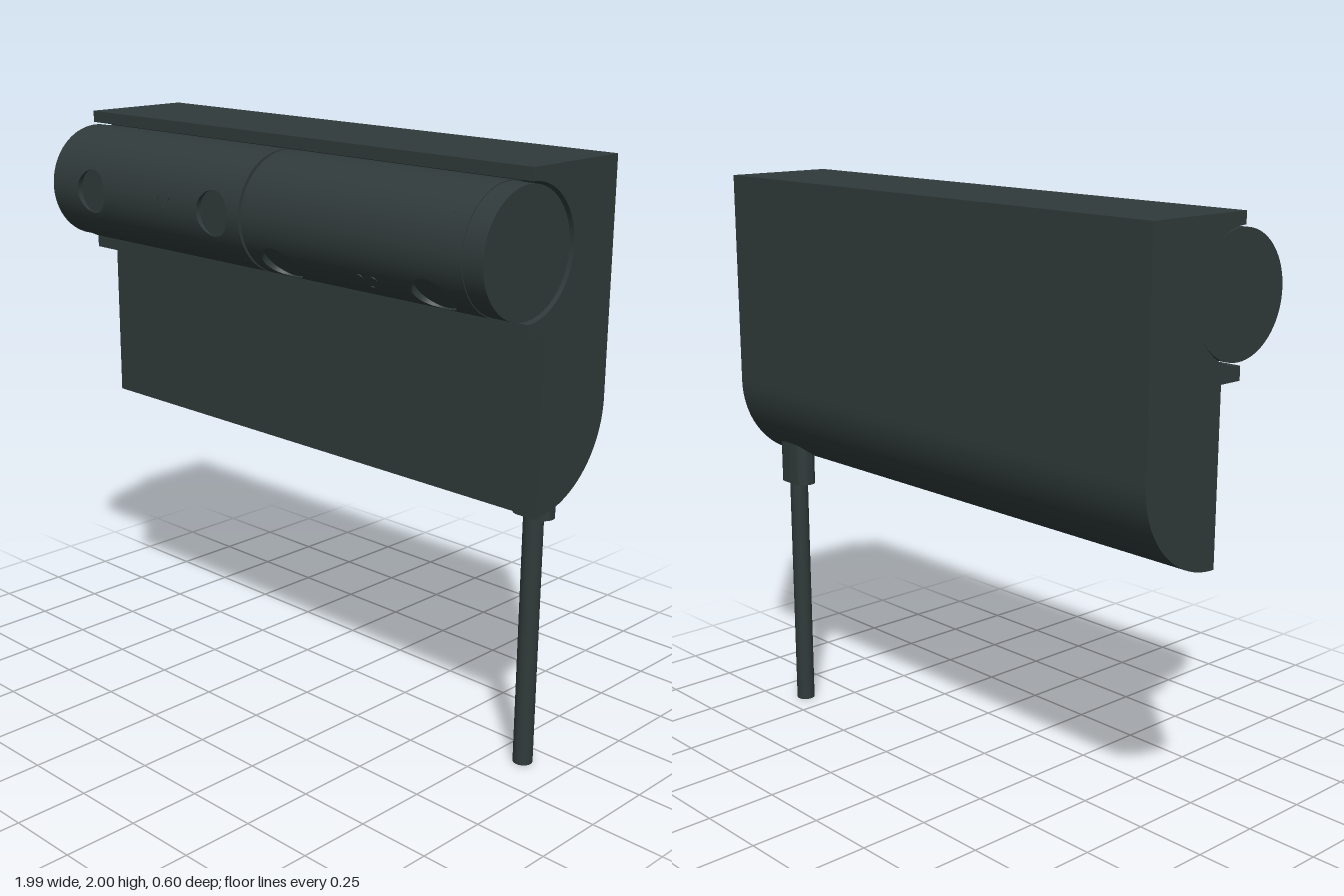
import * as THREE from 'three';
import { toCreasedNormals } from 'three/addons/utils/BufferGeometryUtils.js';

const R = 0.2;          // barrel radius
const LENS = 0.075;     // lens recess radius
const PATCH = 0.09;     // half width of the square patch around a lens
const FLOOR = 0.18;     // distance of the lens floor from the barrel axis

// grid surface: point(u, v) gives a position, normal(p, v) its normal
function sheet(nu, nv, point, normal) {
  const pos = [], nor = [], idx = [];
  for (let i = 0; i <= nu; i++) {
    for (let j = 0; j <= nv; j++) {
      const p = point(i / nu, j / nv);
      pos.push(...p);
      nor.push(...normal(p, j / nv));
      if (i < nu && j < nv) {
        const a = i * (nv + 1) + j, b = a + nv + 1;
        idx.push(a, b, b + 1, a, b + 1, a + 1);
      }
    }
  }
  const g = new THREE.BufferGeometry();
  g.setAttribute('position', new THREE.Float32BufferAttribute(pos, 3));
  g.setAttribute('normal', new THREE.Float32BufferAttribute(nor, 3));
  g.setIndex(idx);
  return g;
}

const round = (p) => [0, p[1] / R, p[2] / R];

// part of the barrel skin between two x values and two angles from the front
const skin = (x0, x1, a0, a1) => sheet(1, 72, (u, v) => {
  const a = a0 + (a1 - a0) * v;
  return [x0 + (x1 - x0) * u, R * Math.sin(a), R * Math.cos(a)];
}, round);

// square of barrel skin with a round opening
const lensSurround = (x) => sheet(4, 64, (u, v) => {
  const c = Math.cos(v * 2 * Math.PI), s = Math.sin(v * 2 * Math.PI);
  const outer = PATCH / Math.max(Math.abs(c), Math.abs(s));
  const d = LENS + (outer - LENS) * u, y = d * s;
  return [x + d * c, y, Math.sqrt(R * R - y * y)];
}, round);

// side wall of the lens recess
const lensWall = (x) => sheet(1, 64, (u, v) => {
  const c = Math.cos(v * 2 * Math.PI), s = Math.sin(v * 2 * Math.PI), y = LENS * s;
  return [x + LENS * c, y, FLOOR + (Math.sqrt(R * R - y * y) - FLOOR) * u];
}, (p, v) => [-Math.cos(v * 2 * Math.PI), -Math.sin(v * 2 * Math.PI), 0]);

export function createModel() {
  const model = new THREE.Group();
  model.name = 'cameraUnit';
  const charcoal = new THREE.MeshStandardMaterial({ color: 0x303a3a });
  charcoal.name = 'charcoal';

  const add = (parent, name, geometry, x = 0, y = 0, z = 0) => {
    const m = new THREE.Mesh(geometry, charcoal);
    m.name = name;
    m.position.set(x, y, z);
    parent.add(m);
    return m;
  };

  // housing: side profile with round socket and curved lower back
  const profile = new THREE.Shape();
  profile.moveTo(-0.3, 2);
  profile.lineTo(-0.3, 1.255);
  profile.absarc(0.015, 1.255, 0.315, Math.PI, 1.5 * Math.PI, false);
  profile.lineTo(0.015, 1.505);
  profile.lineTo(0.1, 1.505);
  profile.lineTo(0.1, 1.55);
  profile.absarc(0.1, 1.755, 0.205, -Math.PI / 2, -1.5 * Math.PI, true);
  profile.lineTo(0.1, 2);
  profile.closePath();
  const body = new THREE.ExtrudeGeometry(profile, { depth: 1.99, bevelEnabled: false, curveSegments: 40 });
  body.translate(0, 0, -0.995);
  body.rotateY(-Math.PI / 2);
  add(model, 'housing', toCreasedNormals(body, 0.5));

  // rotating barrel: skin bands, two lens recesses, sensor dots, end cap
  function barrel(name, x0, x1, lenses, dotX, capX, tilt) {
    const g = new THREE.Group();
    g.name = name;
    g.position.set(0, 1.755, 0.1);
    g.rotation.x = tilt;
    model.add(g);

    let x = x0;
    const edge = Math.asin(PATCH / R);
    for (const lx of lenses) {
      add(g, 'barrelSkin', skin(x, lx - PATCH, 0, 2 * Math.PI));
      add(g, 'barrelSkin', skin(lx - PATCH, lx + PATCH, edge, 2 * Math.PI - edge));
      add(g, 'lensSurround', lensSurround(lx));
      add(g, 'lensWall', lensWall(lx));
      add(g, 'lens', new THREE.CircleGeometry(LENS, 64), lx, 0, FLOOR);
      x = lx + PATCH;
    }
    add(g, 'barrelSkin', skin(x, x1, 0, 2 * Math.PI));
    add(g, 'barrelEnd', new THREE.CircleGeometry(R, 72).rotateY(-Math.PI / 2), x0);
    add(g, 'barrelEnd', new THREE.CircleGeometry(R, 72).rotateY(Math.PI / 2), x1);
    add(g, 'endCap', new THREE.CylinderGeometry(0.197, 0.197, 0.075, 72).rotateZ(Math.PI / 2), capX);

    for (const [dx, dy, r] of [[-0.028, 0.03, 0.013], [0.028, 0.03, 0.013], [0, -0.01, 0.007]]) {
      const dot = add(g, 'sensorDot', new THREE.CylinderGeometry(r, r, 0.004, 20).rotateX(Math.PI / 2),
        dotX + dx, dy, Math.sqrt(R * R - dy * dy));
      dot.rotation.x = -Math.asin(dy / R);
    }
  }
  barrel('rightBarrel', -0.91, -0.007, [-0.765, -0.135], -0.382, -0.9475, 0);
  barrel('leftBarrel', 0.007, 0.91, [0.13, 0.76], 0.517, 0.9475, Math.PI / 4);

  // cable collar with rounded sides, and cable
  const collar = new THREE.Shape();
  collar.absarc(0.033, 0, 0.04, -Math.PI / 2, Math.PI / 2, false);
  collar.absarc(-0.033, 0, 0.04, Math.PI / 2, 1.5 * Math.PI, false);
  collar.closePath();
  const collarGeometry = new THREE.ExtrudeGeometry(collar, { depth: 0.18, bevelEnabled: false, curveSegments: 20 });
  collarGeometry.rotateX(-Math.PI / 2);
  add(model, 'cableCollar', toCreasedNormals(collarGeometry, 0.5), 0.853, 0.87, -0.16);
  add(model, 'cable', new THREE.CylinderGeometry(0.033, 0.033, 0.88, 32), 0.853, 0.44, -0.16);

  return model;
}
